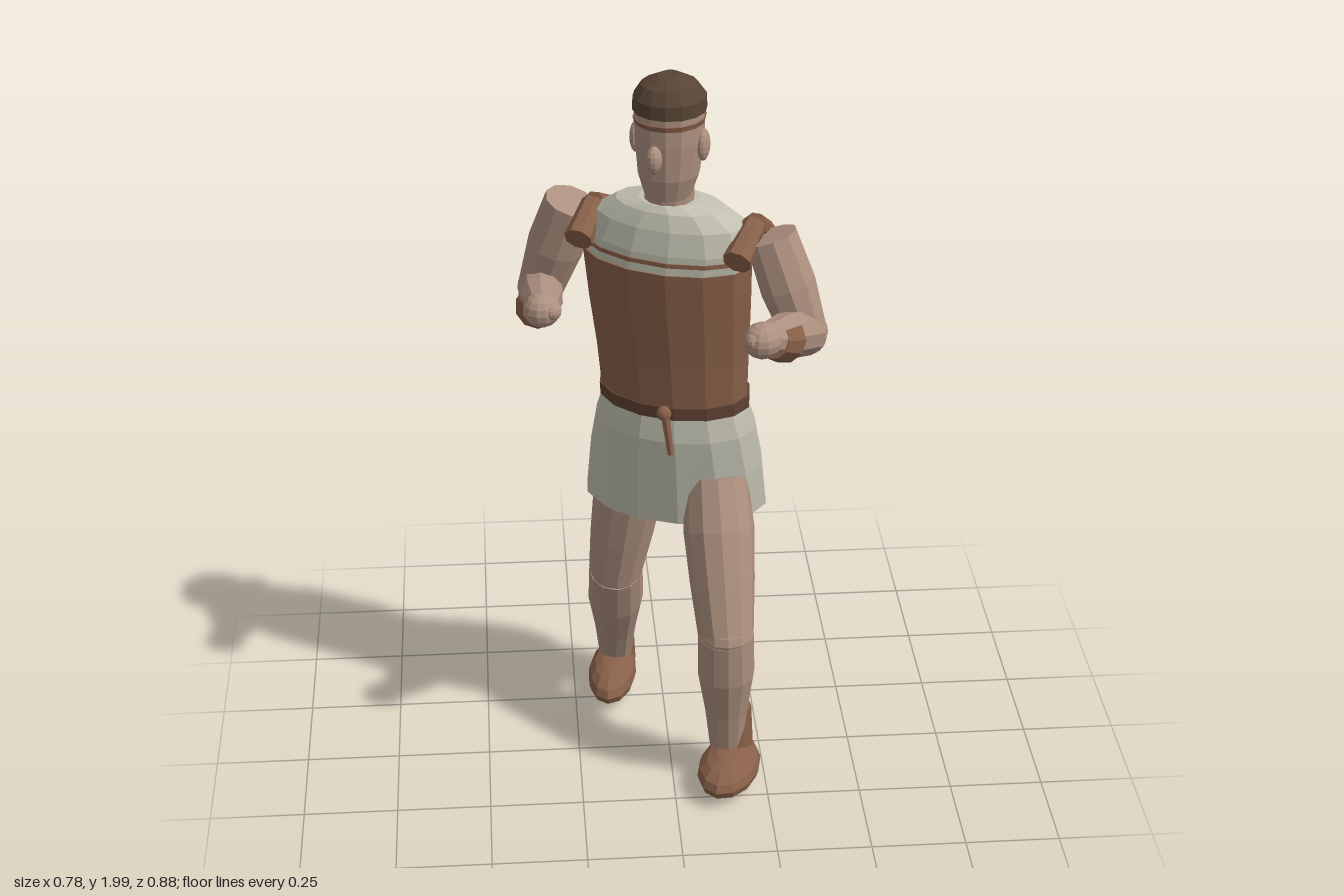
import * as THREE from 'three';

function mat(name, color) {
  const m = new THREE.MeshStandardMaterial({ color, flatShading: true });
  m.name = name;
  return m;
}

export function createModel() {
  const model = new THREE.Group();
  const skin = mat('skin', 0xae9180);
  const leather = mat('leather', 0x886049);
  const cloth = mat('cloth', 0xc1c0b0);
  const hairDark = mat('hair', 0x574434);
  const beltDark = mat('darkLeather', 0x5f4231);
  const V = (p) => new THREE.Vector3(...p);

  function add(name, geo, material) {
    const mesh = new THREE.Mesh(geo, material);
    mesh.name = name;
    model.add(mesh);
    return mesh;
  }

  // Closed body of elliptical rings, bottom to top: [y, centreX, centreZ, halfWidth, halfDepth, yaw]
  function loft(name, rings, material, n = 14) {
    const pos = [], idx = [];
    for (const [y, cx, cz, a, b, yaw] of rings) {
      const c = Math.cos(yaw), s = Math.sin(yaw);
      for (let i = 0; i < n; i++) {
        const t = (i / n) * Math.PI * 2, X = a * Math.cos(t), Z = b * Math.sin(t);
        pos.push(cx + X * c - Z * s, y, cz + X * s + Z * c);
      }
    }
    const last = (rings.length - 1) * n, bottom = last + n, top = bottom + 1;
    for (const r of [rings[0], rings[rings.length - 1]]) pos.push(r[1], r[0], r[2]);
    for (let i = 0; i < n; i++) {
      const j = (i + 1) % n;
      for (let k = 0; k < last; k += n) {
        idx.push(k + i, k + n + i, k + j, k + j, k + n + i, k + n + j);
      }
      idx.push(bottom, i, j, top, last + j, last + i);
    }
    const g = new THREE.BufferGeometry();
    g.setAttribute('position', new THREE.Float32BufferAttribute(pos, 3));
    g.setIndex(idx);
    g.computeVertexNormals();
    return add(name, g, material);
  }

  // Capped round limb between two points, radii evenly spaced along it
  function limb(name, from, to, radii, material, n = 10) {
    const a = V(from), dir = V(to).sub(a), len = dir.length();
    const pts = [new THREE.Vector2(0, 0)];
    radii.forEach((r, i) => pts.push(new THREE.Vector2(r, (len * i) / (radii.length - 1))));
    pts.push(new THREE.Vector2(0, len));
    const mesh = add(name, new THREE.LatheGeometry(pts, n), material);
    mesh.position.copy(a);
    mesh.quaternion.setFromUnitVectors(new THREE.Vector3(0, 1, 0), dir.normalize());
    return mesh;
  }

  function ball(name, p, size, yaw, material) {
    const mesh = add(name, new THREE.SphereGeometry(1, 12, 8), material);
    mesh.position.set(...p);
    mesh.scale.set(...size);
    mesh.rotation.y = -yaw;
    return mesh;
  }

  // Torso and clothing
  loft('skirt', [
    [0.76, 0.027, -0.115, 0.25, 0.176, 0.36],
    [0.9, 0.024, -0.085, 0.238, 0.166, 0.38],
    [1.02, 0.02, -0.055, 0.218, 0.152, 0.4],
    [1.1, 0.018, -0.042, 0.193, 0.133, 0.42]], cloth);
  loft('belt', [
    [1.09, 0.018, -0.041, 0.204, 0.141, 0.42],
    [1.125, 0.017, -0.04, 0.205, 0.142, 0.42]], beltDark);
  loft('cuirass', [
    [1.1, 0.0175, -0.04, 0.198, 0.136, 0.42],
    [1.24, 0.012, -0.033, 0.207, 0.138, 0.44],
    [1.38, 0.004, -0.027, 0.22, 0.141, 0.46],
    [1.51, -0.003, -0.02, 0.229, 0.141, 0.48]], leather);
  loft('tunicYoke', [
    [1.5, -0.002, -0.02, 0.226, 0.138, 0.48],
    [1.56, 0.002, -0.012, 0.226, 0.13, 0.48],
    [1.62, 0.004, -0.004, 0.2, 0.112, 0.48],
    [1.66, 0.002, 0.004, 0.145, 0.088, 0.48],
    [1.675, 0, 0.01, 0.08, 0.068, 0.46]], cloth);
  loft('chestBand', [
    [1.532, 0.001, -0.016, 0.23, 0.138, 0.48],
    [1.543, 0.001, -0.015, 0.229, 0.137, 0.48]], leather);
  ball('beltKnot', [-0.02, 1.11, 0.098], [0.02, 0.02, 0.02], 0, leather);
  limb('beltTail', [-0.004, 1.0, 0.118], [-0.018, 1.11, 0.102], [0.009, 0.013], leather, 6);

  // Shoulder straps arching front to back
  const straps = [
    [[0.155, 1.56, 0.165], [0.208, 1.617, 0.065], [0.24, 1.55, -0.02]],
    [[-0.228, 1.56, 0.0], [-0.185, 1.617, -0.095], [-0.13, 1.55, -0.195]]];
  for (const [front, mid, back] of straps) {
    limb('strapFront', front, mid, [0.038, 0.03], leather, 8);
    limb('strapBack', back, mid, [0.038, 0.03], leather, 8);
  }

  // Head
  loft('neck', [[1.64, 0, 0.01, 0.065, 0.062, 0.4], [1.74, 0, 0.016, 0.062, 0.06, 0.4]], skin, 12);
  loft('head', [
    [1.69, -0.004, 0.024, 0.058, 0.062, 0.4],
    [1.75, -0.002, 0.024, 0.077, 0.08, 0.4],
    [1.84, 0, 0.022, 0.086, 0.09, 0.4],
    [1.93, 0, 0.022, 0.088, 0.092, 0.4]], skin);
  loft('headband', [
    [1.885, 0, 0.022, 0.088, 0.092, 0.4],
    [1.898, 0, 0.022, 0.091, 0.095, 0.4]], leather);
  loft('hair', [
    [1.915, 0, 0.022, 0.092, 0.095, 0.4],
    [1.95, 0, 0.022, 0.091, 0.094, 0.4],
    [1.98, -0.001, 0.022, 0.07, 0.073, 0.4],
    [2.0, -0.003, 0.022, 0.026, 0.036, 0.4]], hairDark);
  ball('nose', [-0.045, 1.815, 0.112], [0.02, 0.036, 0.024], 0.42, skin);
  for (const side of [1, -1]) {
    ball('ear', [side * 0.08, 1.83, 0.022 + side * 0.034], [0.016, 0.042, 0.026], 0.4, skin);
  }

  // Arms: shoulder, elbow, cuff start, cuff end, hand
  const arms = [
    { s: [0.245, 1.6, 0.1], e: [0.33, 1.35, 0.14], c: [0.262, 1.4, 0.275], w: [0.226, 1.432, 0.345],
      h: [0.197, 1.458, 0.39], thumb: [0.175, 1.465, 0.405] },
    { s: [-0.24, 1.6, -0.15], e: [-0.322, 1.335, -0.205], c: [-0.332, 1.332, -0.095], w: [-0.329, 1.362, -0.012],
      h: [-0.324, 1.39, 0.044], thumb: [-0.297, 1.395, 0.065] }];
  for (const { s, e, c, w, h, thumb } of arms) {
    limb('upperArm', e, s, [0.06, 0.074, 0.068], skin);
    ball('elbow', e, [0.06, 0.06, 0.06], 0, skin);
    limb('forearm', e, h, [0.06, 0.058, 0.036], skin);
    limb('wristCuff', c, w, [0.059, 0.044], leather);
    ball('hand', h, [0.048, 0.045, 0.05], 0.3, skin);
    ball('thumb', thumb, [0.022, 0.024, 0.028], 0.3, skin);
  }

  // Legs: hip, knee, ankle, boot shaft, foot
  const legs = [
    { hip: [0.12, 0.88, 0.025], knee: [0.137, 0.49, 0.185], ankle: [0.148, 0.1, 0.135],
      shaft: [0.168, 0.128], foot: [0.15, 0.062, 0.188], size: [0.082, 0.055, 0.135], yaw: 0.35 },
    { hip: [-0.085, 0.88, -0.105], knee: [-0.135, 0.49, -0.165], ankle: [-0.13, 0.1, -0.345],
      shaft: [-0.125, -0.367], foot: [-0.142, 0.062, -0.295], size: [0.068, 0.055, 0.147], yaw: 0.15 }];
  for (const { hip, knee, ankle, shaft, foot, size, yaw } of legs) {
    limb('thigh', knee, hip, [0.074, 0.086, 0.094, 0.085], skin, 12);
    ball('knee', knee, [0.074, 0.06, 0.074], 0, skin);
    limb('calf', ankle, knee, [0.046, 0.058, 0.076, 0.074], skin, 12);
    limb('bootShaft', [shaft[0], 0.06, shaft[1]], [shaft[0], 0.22, shaft[1]], [0.054, 0.046], leather, 12);
    ball('boot', foot, size, yaw, leather);
  }
  return model;
}
